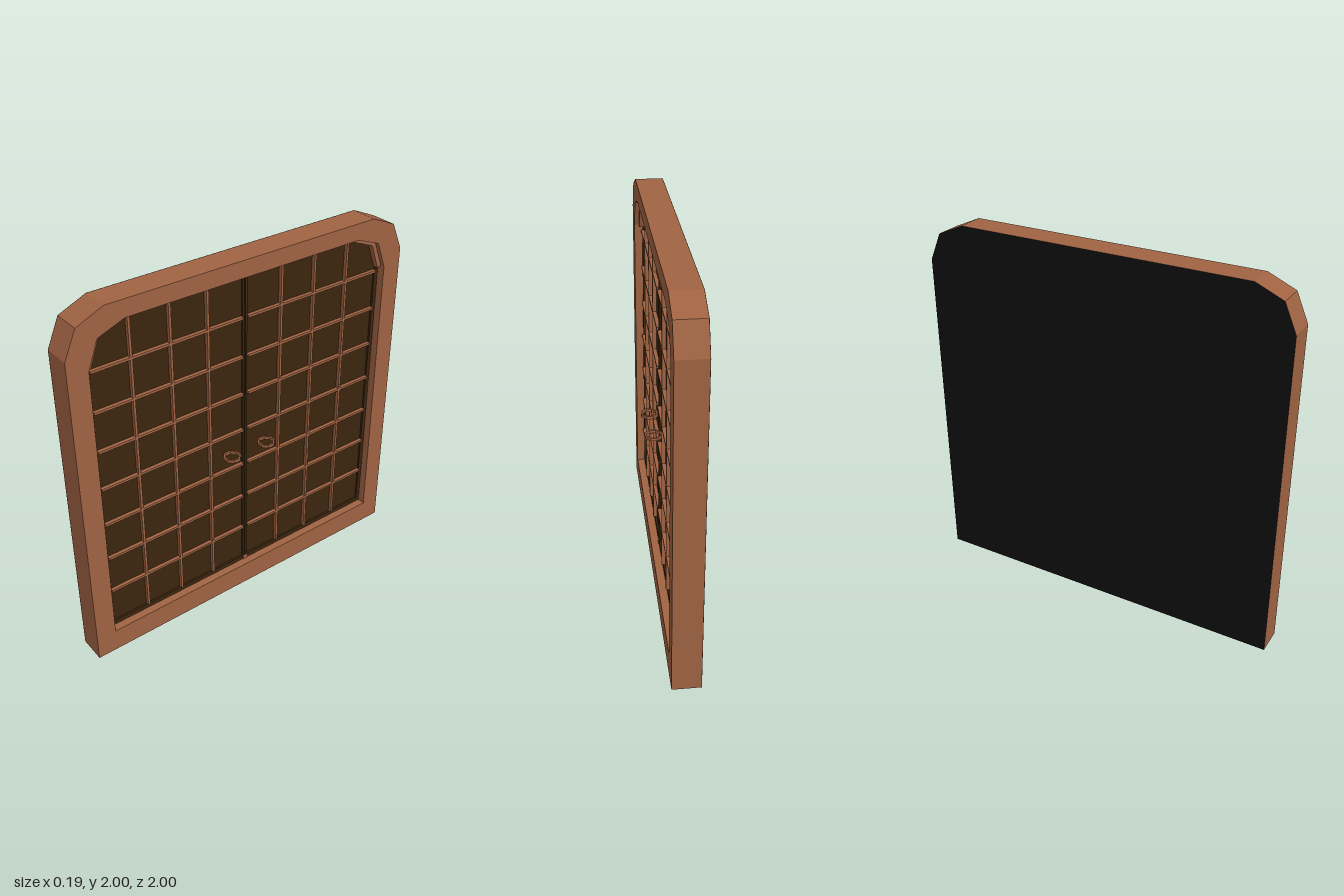
import * as THREE from 'three';

const paint = (color, side = THREE.FrontSide) =>
  new THREE.MeshStandardMaterial({ color, side, flatShading: true });

// Closed outline from [x, y] points
const outline = (pts, Kind = THREE.Shape) => new Kind(pts.map(([x, y]) => new THREE.Vector2(x, y)));

// Symmetric outline with a flat bottom and two-step chamfered upper corners
const arched = (bottom, corner) => [
  [-corner[0][0], bottom], [corner[0][0], bottom], ...corner,
  ...[...corner].reverse().map(([x, y]) => [-x, y]),
];

export function createModel() {
  const model = new THREE.Group();
  // Everything is built facing +z, then turned to face +x
  const gate = new THREE.Group();
  gate.name = 'doubleDoor';
  gate.rotation.y = Math.PI / 2;
  model.add(gate);

  const wood = paint(0xa06343);
  const dark = paint(0x3b250e);
  const black = paint(0x0e0e0e, THREE.DoubleSide);

  const add = (name, geometry, material, x = 0, y = 0, z = 0) => {
    const mesh = new THREE.Mesh(geometry, material);
    mesh.name = name;
    mesh.position.set(x, y, z);
    gate.add(mesh);
    return mesh;
  };
  const box = (name, w, h, d, material, x, y, z) =>
    add(name, new THREE.BoxGeometry(w, h, d), material, x, y, z);
  const slab = (name, shape, depth, material, z) =>
    add(name, new THREE.ExtrudeGeometry(shape, { depth, bevelEnabled: false }), material, 0, 0, z);

  const outer = arched(0, [[1, 1.79], [0.935, 1.937], [0.79, 2]]);
  const innerCorner = [[0.89, 1.71], [0.835, 1.855], [0.69, 1.91]];
  const opening = arched(0.13, innerCorner);

  // Thick surround with its opening, closed behind by a black sheet
  const surround = outline(outer);
  surround.holes.push(outline(opening, THREE.Path));
  slab('surround', surround, 0.149, wood, -0.094);
  add('backSheet', new THREE.ShapeGeometry(outline(outer)), black, 0, 0, -0.0947);

  // Recessed door panel
  slab('doorPanel', outline(opening), 0.08, dark, -0.08);

  // Slim trims inside the chamfered corners
  for (const s of [-1, 1]) {
    const trim = [...innerCorner, [0.685, 1.892], [0.818, 1.838], [0.868, 1.7]];
    slab('cornerTrim', outline(trim.map(([x, y]) => [s * x, y])), 0.03, wood, 0);
  }

  // Two door leaves: dark borders, glazing bars and a ring handle each
  const ringPoints = (r) => Array.from({ length: 8 }, (_, i) => {
    const a = (i + 0.5) * Math.PI / 4;
    return [r * Math.cos(a), r * Math.sin(a)];
  });
  for (const s of [-1, 1]) {
    box('outerStile', 0.022, 1.56, 0.012, dark, s * 0.878, 0.91, 0.005);
    box('innerStile', 0.012, 1.74, 0.012, dark, s * 0.008, 1.025, 0.005);
    box('bottomRail', 0.86, 0.025, 0.012, dark, s * 0.445, 0.143, 0.005);
    box('topRail', 0.67, 0.016, 0.012, dark, s * 0.35, 1.901, 0.005);

    for (const x of [0.225, 0.437, 0.654])
      box('verticalBar', 0.013, 1.734, 0.02, wood, s * x, 1.023, 0.01);
    for (let i = 0; i < 7; i++)
      box('horizontalBar', 0.85, 0.013, 0.02, wood, s * 0.441, 0.371 + i * 0.2177, 0.01);

    const ring = outline(ringPoints(0.0485));
    ring.holes.push(outline(ringPoints(0.038), THREE.Path));
    const handle = slab('ringHandle', ring, 0.016, wood, 0.0499);
    handle.rotation.x = -Math.PI / 2;
    handle.position.set(s * 0.113, 0.905, 0.0499);
  }

  // Small stops above and below the meeting line
  for (const y of [0.144, 1.9]) box('doorStop', 0.028, 0.024, 0.02, wood, 0, y, 0.005);

  return model;
}
